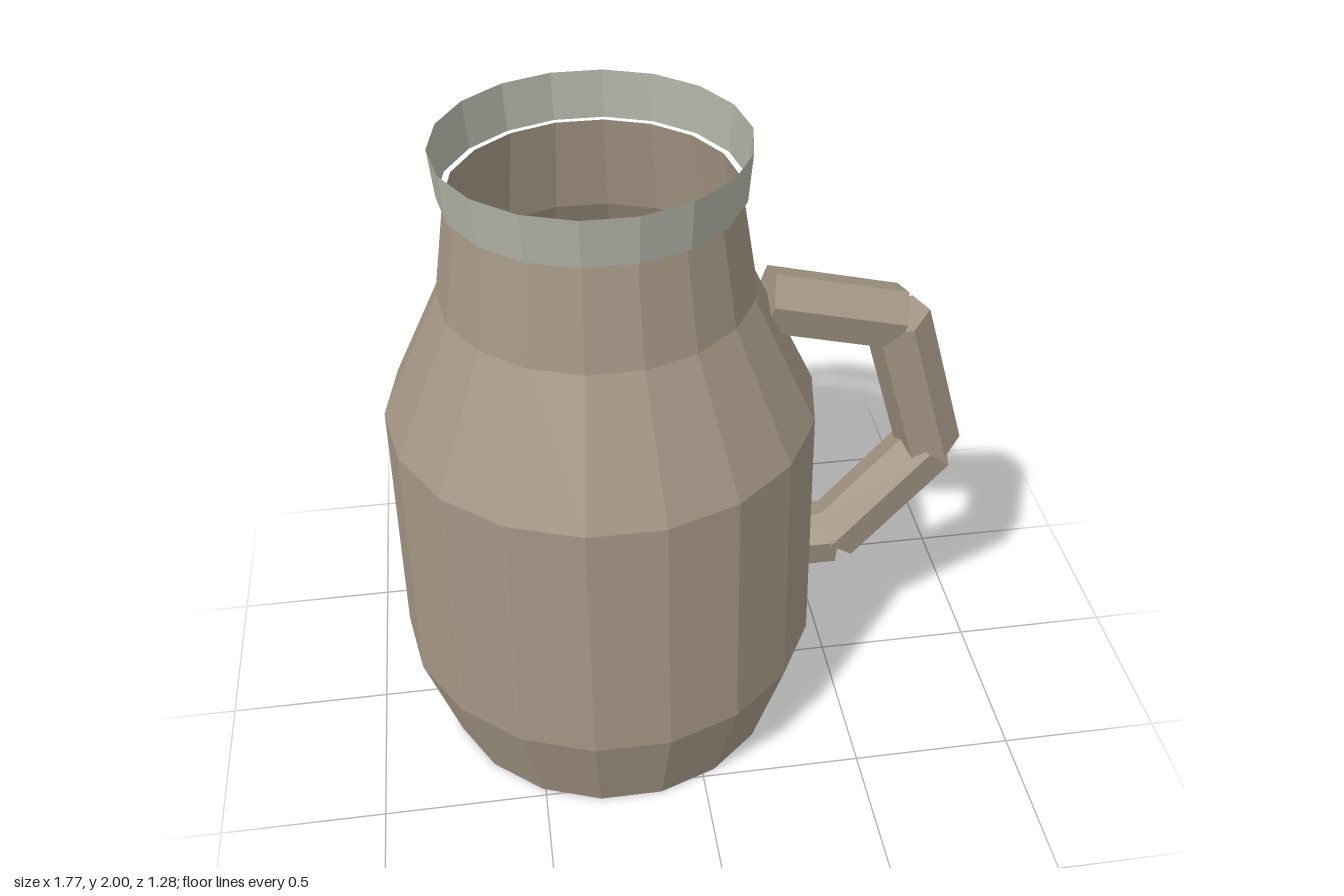
import * as THREE from 'three';

const clay = new THREE.MeshStandardMaterial({ color: 0xa39584, flatShading: true, side: THREE.DoubleSide });
clay.name = 'brown clay';
const glaze = new THREE.MeshStandardMaterial({ color: 0xb0b2a5, flatShading: true, side: THREE.DoubleSide });
glaze.name = 'grey rim';

const AXIS_X = -0.235; // jug axis, offset so the handle balances the width

// Eighteen-sided open shell from [radius, height] pairs
function shell(name, profile, material) {
  const points = profile.map(([r, y]) => new THREE.Vector2(r, y));
  const mesh = new THREE.Mesh(new THREE.LatheGeometry(points, 18, Math.PI / 2), material);
  mesh.name = name;
  mesh.position.x = AXIS_X;
  return mesh;
}

// Hexagonal bar between two points in the z = 0 plane, rolled about its axis
function bar(name, [x0, y0], [x1, y1], roll) {
  const dir = new THREE.Vector3(x1 - x0, y1 - y0, 0);
  const length = dir.length();
  dir.normalize();
  const outward = new THREE.Vector3(-dir.y, dir.x, 0);
  const geometry = new THREE.CylinderGeometry(0.1, 0.1, length, 6, 1, false, Math.PI / 2 + roll);
  const mesh = new THREE.Mesh(geometry, clay);
  mesh.name = name;
  mesh.quaternion.setFromRotationMatrix(
    new THREE.Matrix4().makeBasis(outward, dir, new THREE.Vector3(0, 0, -1)));
  mesh.position.set((x0 + x1) / 2, (y0 + y1) / 2, 0);
  return mesh;
}

export function createModel() {
  const jug = new THREE.Group();
  jug.name = 'jug';

  // Hollow body with a flat base
  jug.add(shell('body', [
    [0, 0], [0.548, 0], [0.65, 0.345], [0.633, 1.17], [0.448, 1.56], [0.4, 1.86],
  ], clay));

  // Loose band around the mouth
  jug.add(shell('rim', [[0.418, 1.86], [0.43, 2]], glaze));

  // Handle of four straight bars
  const handle = new THREE.Group();
  handle.name = 'handle';
  const path = [[0.247, 1.461], [0.642, 1.364], [0.787, 0.88], [0.497, 0.543], [0.37, 0.543]];
  const names = ['handleTop', 'handleGrip', 'handleLower', 'handleFoot'];
  const rolls = [0.24, 0.24, -0.22, -0.22];
  names.forEach((name, i) => handle.add(bar(name, path[i], path[i + 1], rolls[i])));
  jug.add(handle);

  return jug;
}
